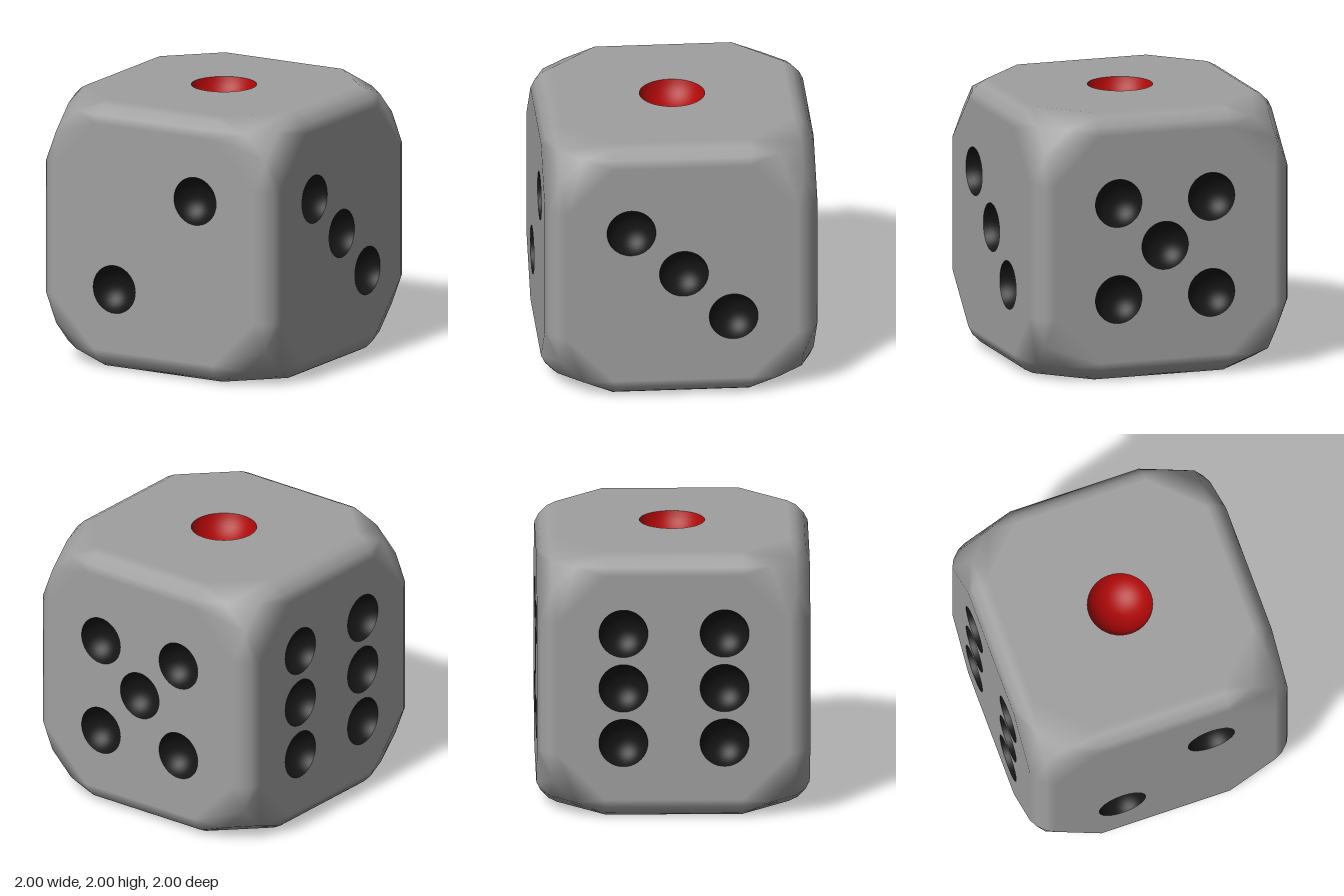
import * as THREE from 'three';

const FLAT = 0.85, CUT = 0.5;          // half width of a side, start of its corner cut
const grey = new THREE.MeshStandardMaterial({ color: 0xa0a0a0 });
const black = new THREE.MeshStandardMaterial({ color: 0x151515, side: THREE.DoubleSide });
const red = new THREE.MeshStandardMaterial({ color: 0xae0808, side: THREE.DoubleSide });

// Octagonal side with round holes for the pips
function sideGeometry(pips, r) {
  const shape = new THREE.Shape([
    [FLAT, -CUT], [FLAT, CUT], [CUT, FLAT], [-CUT, FLAT],
    [-FLAT, CUT], [-FLAT, -CUT], [-CUT, -FLAT], [CUT, -FLAT],
  ].map(([x, y]) => new THREE.Vector2(x, y)));
  for (const [x, y] of pips) {
    shape.holes.push(new THREE.Path().absarc(x, y, r, 0, Math.PI * 2, true));
  }
  return new THREE.ShapeGeometry(shape, 20).translate(0, 0, 1);
}

// Hollow spherical dimple, opening towards +z
function pipGeometry(r) {
  const steepest = THREE.MathUtils.degToRad(75);
  const R = r / Math.sin(steepest);
  const profile = [];
  for (let i = 0; i <= 10; i++) {
    const a = steepest * i / 10;
    profile.push(new THREE.Vector2(R * Math.sin(a), R * (Math.cos(steepest) - Math.cos(a))));
  }
  return new THREE.LatheGeometry(profile, 40).rotateX(Math.PI / 2);
}

// Three-step bevels along all edges, meeting in bevelled corner cuts
function bevelGeometry() {
  const position = [], normal = [];
  const vert = (p, n) => ({ p: new THREE.Vector3(...p), n: new THREE.Vector3(...n).normalize() });

  // Convex polygon, turned to face away from the centre
  function polygon(verts) {
    for (let i = 1; i < verts.length - 1; i++) {
      const tri = [verts[0], verts[i], verts[i + 1]];
      const facing = new THREE.Vector3().crossVectors(
        tri[1].p.clone().sub(tri[0].p), tri[2].p.clone().sub(tri[0].p));
      if (facing.dot(tri[0].p) < 0) tri.reverse();
      for (const v of tri) {
        position.push(...v.p.toArray());
        normal.push(...v.n.toArray());
      }
    }
  }
  // Place (u, v, w) on the axes k, k+1, k+2 with the given signs
  const place = (k, signs, c) => {
    const out = [0, 0, 0];
    c.forEach((value, i) => { const a = (k + i) % 3; out[a] = value * signs[a]; });
    return out;
  };
  // Bevel cross-section between axis k and axis k+1, at height w on axis k+2
  const section = (k, s, w) => [
    [1, FLAT, 1, 0], [0.97, 0.91, 0.87, 0.5], [0.91, 0.97, 0.5, 0.87], [FLAT, 1, 0, 1],
  ].map(([u, v, nu, nv]) => vert(place(k, s, [u, v, w]), place(k, s, [nu, nv, 0])));

  // Straight edges
  for (let k = 0; k < 3; k++) {
    for (const su of [-1, 1]) for (const sv of [-1, 1]) {
      const s = [1, 1, 1];
      s[k] = su;
      s[(k + 1) % 3] = sv;
      const a = section(k, s, -CUT), b = section(k, s, CUT);
      for (let i = 0; i < 3; i++) polygon([a[i], a[i + 1], b[i + 1], b[i]]);
    }
  }
  // Corners: a triangle, with a fan to each edge and a strip to each side
  for (const sx of [-1, 1]) for (const sy of [-1, 1]) for (const sz of [-1, 1]) {
    const s = [sx, sy, sz];
    const tip = [0, 1, 2].map(k => vert(place(k, s, [0.895, 0.895, 0.72]), place(k, s, [0.65, 0.65, 0.4])));
    const ends = [0, 1, 2].map(k => section(k, s, CUT));
    polygon(tip);
    for (let k = 0; k < 3; k++) {
      const n = (k + 1) % 3;
      polygon([tip[k], ...ends[k]]);
      polygon([ends[k][3], ends[n][0], tip[n], tip[k]]);
    }
  }
  const geometry = new THREE.BufferGeometry();
  geometry.setAttribute('position', new THREE.Float32BufferAttribute(position, 3));
  geometry.setAttribute('normal', new THREE.Float32BufferAttribute(normal, 3));
  return geometry;
}

export function createModel() {
  const die = new THREE.Group();
  die.name = 'die';
  const q = Math.PI / 2, d = 0.36;
  const square = y0 => [[-d, y0 - d], [d, y0 - d], [-d, y0 + d], [d, y0 + d]];
  const six = [-0.37, 0.37].flatMap(x => [-0.415, 0, 0.415].map(y => [x, y]));

  // Each side: rotation about x and y, pip centres, pip radius and material
  const sides = [
    ['topSide', -q, 0, [[0, 0]], 0.24, red],
    ['frontSide', 0, 0, [[0.355, 0.37], [-0.335, -0.38]], 0.18, black],
    ['leftSide', 0, q, [[-0.375, 0.338], [0.01, 0], [0.375, -0.355]], 0.18, black],
    ['bottomSide', q, 0, square(0), 0.18, red],
    ['backSide', 0, 2 * q, [...square(-0.02), [0, 0]], 0.18, black],
    ['rightSide', 0, -q, six, 0.18, black],
  ];
  for (const [name, rx, ry, pips, r, material] of sides) {
    const side = new THREE.Group();
    side.name = name;
    side.rotation.set(rx, ry, 0);
    side.position.y = 1;
    const panel = new THREE.Mesh(sideGeometry(pips, r), grey);
    panel.name = 'panel';
    side.add(panel);
    const dimple = pipGeometry(r);
    for (const [x, y] of pips) {
      const pip = new THREE.Mesh(dimple, material);
      pip.name = 'pip';
      pip.position.set(x, y, 1);
      side.add(pip);
    }
    die.add(side);
  }

  const bevels = new THREE.Mesh(bevelGeometry(), grey);
  bevels.name = 'roundedEdges';
  bevels.position.y = 1;
  die.add(bevels);
  return die;
}
